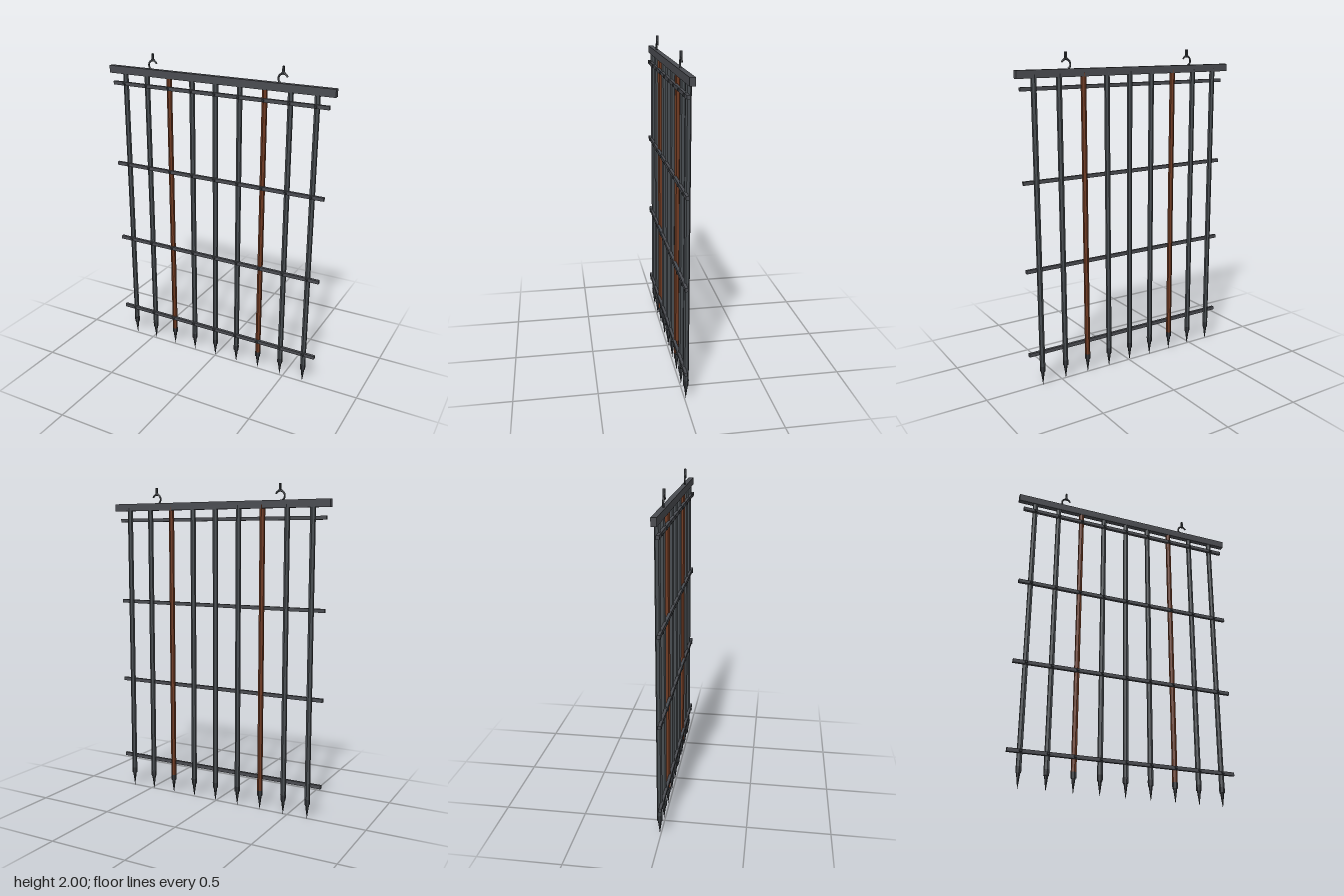
import * as THREE from 'three';

const paint = (name, color) => {
  const m = new THREE.MeshStandardMaterial({ color });
  m.name = name;
  return m;
};

export function createModel() {
  const beamGrey = paint('beam grey', 0x4a4c51);
  const iron = paint('iron', 0x484d51);
  const rust = paint('rust', 0x6e3a22);
  const darkIron = paint('dark iron', 0x36393d);

  const gate = new THREE.Group();
  gate.name = 'portcullis';
  const add = (name, geometry, material, x, y, z, parent = gate) => {
    const mesh = new THREE.Mesh(geometry, material);
    mesh.name = name;
    mesh.position.set(x, y, z);
    parent.add(mesh);
    return mesh;
  };
  // flat facets for the low-poly round parts
  const facet = (g) => {
    const flat = g.toNonIndexed();
    flat.computeVertexNormals();
    return flat;
  };

  const Z = -0.007; // centre plane of the uprights
  const spacing = 0.1585;
  const rows = [0.21, 0.74, 1.27, 1.8];

  // Lifting beam
  add('topBeam', new THREE.BoxGeometry(1.486, 0.046, 0.032), beamGrey, 0, 1.882, -0.006);

  // Uprights with collars and spikes
  const barGeo = facet(new THREE.CylinderGeometry(0.0165, 0.0165, 1.77, 6));
  const collarGeo = facet(new THREE.CylinderGeometry(0.0175, 0.0165, 0.035, 6));
  const spikeGeo = facet(new THREE.ConeGeometry(0.0125, 0.092, 6).rotateX(Math.PI));
  const rivetGeo = facet(new THREE.CylinderGeometry(0.007, 0.01, 0.007, 6).rotateX(Math.PI / 2));
  for (let i = -4; i <= 4; i++) {
    const x = i * spacing;
    add('verticalBar', barGeo, Math.abs(i) === 2 ? rust : iron, x, 0.995, Z);
    add('spikeCollar', collarGeo, darkIron, x, 0.1085, Z);
    add('spike', spikeGeo, darkIron, x, 0.046, Z);
    for (const y of rows) add('rivet', rivetGeo, darkIron, x, y, 0.0205);
  }

  // Cross bars on the front
  const crossGeo = new THREE.BoxGeometry(1.426, 0.022, 0.018);
  for (const y of rows) add('crossBar', crossGeo, beamGrey, 0, y, 0.008);

  // Open hooks, each with a pin on top
  const hookGeo = new THREE.TorusGeometry(0.029, 0.006, 6, 14, Math.PI * 1.22).rotateZ(0.4);
  const pinGeo = new THREE.BoxGeometry(0.01, 0.045, 0.015);
  const braceGeo = facet(new THREE.CylinderGeometry(0.006, 0.018, 0.016, 6).scale(1, 1, 0.4));
  for (const x of [-0.428, 0.428]) {
    const hook = new THREE.Group();
    hook.name = 'liftingHook';
    hook.position.set(x, 0, -0.004);
    gate.add(hook);
    add('hookRing', hookGeo, darkIron, 0, 1.929, 0, hook);
    add('hookPin', pinGeo, darkIron, 0, 1.9775, 0, hook);
    add('pinFoot', braceGeo, darkIron, 0, 1.965, 0, hook);
  }
  return gate;
}
